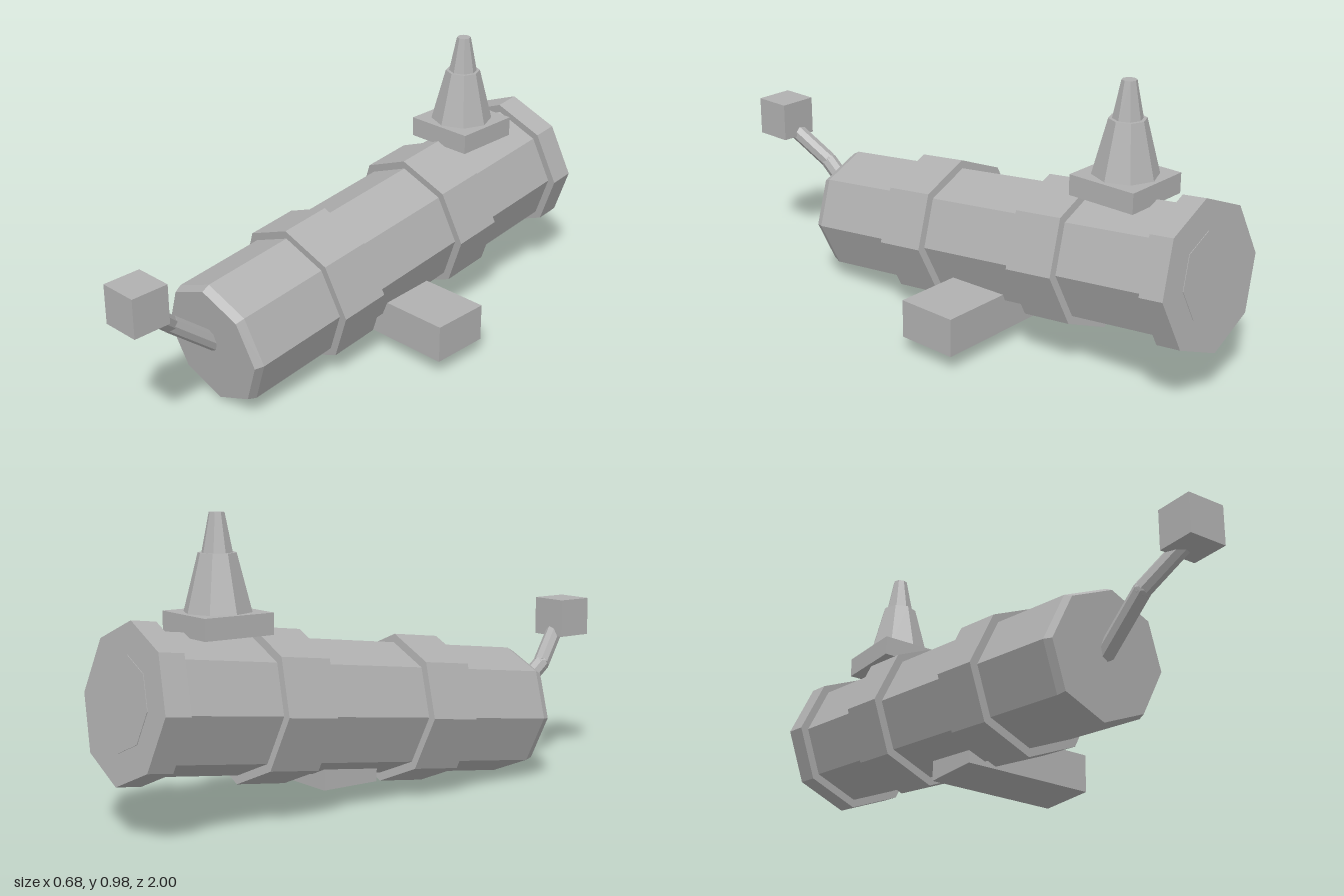
import * as THREE from 'three';

export function createModel() {
  const model = new THREE.Group();
  model.name = 'barrelDevice';
  const grey = new THREE.MeshStandardMaterial({ color: 0xb0b0b0, flatShading: true });
  grey.name = 'grey';
  const axisX = -0.087;

  const add = (parent, name, geometry, x, y, z) => {
    const mesh = new THREE.Mesh(geometry, grey);
    mesh.name = name;
    mesh.position.set(x, y, z);
    parent.add(mesh);
    return mesh;
  };
  const box = (name, x0, x1, y0, y1, z0, z1) =>
    add(model, name, new THREE.BoxGeometry(x1 - x0, y1 - y0, z1 - z0),
      (x0 + x1) / 2, (y0 + y1) / 2, (z0 + z1) / 2);

  // Tilted barrel: octagonal sections measured backwards from the front face
  const barrel = new THREE.Group();
  barrel.name = 'barrel';
  barrel.position.set(axisX, 0.222, 0.602);
  barrel.rotation.x = 0.126;
  model.add(barrel);
  const section = (name, start, end, frontR, backR = frontR) => {
    const mesh = add(barrel, name,
      new THREE.CylinderGeometry(frontR, backR, end - start, 8), 0, 0, -(start + end) / 2);
    mesh.rotation.x = Math.PI / 2;
  };
  section('frontBevel', 0, 0.03, 0.213, 0.225);
  section('barrelBody', 0.03, 1.52, 0.225);
  section('frontRing', 0.375, 0.56, 0.254);
  section('middleRing', 0.958, 1.143, 0.254);
  section('rearRing', 1.49, 1.578, 0.254);
  section('rearPlate', 1.57, 1.58, 0.15);

  // Stepped spire on its square base
  box('spireBase', -0.213, 0.04, 0.605, 0.675, -0.75, -0.5);
  add(model, 'spireLower', new THREE.CylinderGeometry(0.062, 0.11, 0.185, 8), axisX, 0.7675, -0.625);
  add(model, 'spireUpper', new THREE.CylinderGeometry(0.025, 0.05, 0.125, 8), axisX, 0.9225, -0.625);

  // Side block passing under the barrel
  box('sideBlock', -0.15, 0.34, 0.06, 0.195, -0.265, -0.047);

  // Bent crank with a cube handle
  const bar = (name, a, b) => {
    const dir = b.clone().sub(a);
    const mid = a.clone().add(b).multiplyScalar(0.5);
    const mesh = add(model, name, new THREE.CylinderGeometry(0.03, 0.03, dir.length(), 8), mid.x, mid.y, mid.z);
    mesh.quaternion.setFromUnitVectors(new THREE.Vector3(0, 1, 0), dir.normalize());
  };
  const root = new THREE.Vector3(axisX, 0.2, 0.55);
  const bend = new THREE.Vector3(axisX, 0.375, 0.77);
  const tip = new THREE.Vector3(-0.028, 0.492, 0.9);
  bar('crankLower', root, bend);
  bar('crankUpper', bend, tip);
  add(model, 'crankElbow', new THREE.SphereGeometry(0.03, 8, 6), bend.x, bend.y, bend.z);
  box('crankHandle', -0.095, 0.043, 0.465, 0.602, 0.864, 1);

  return model;
}
